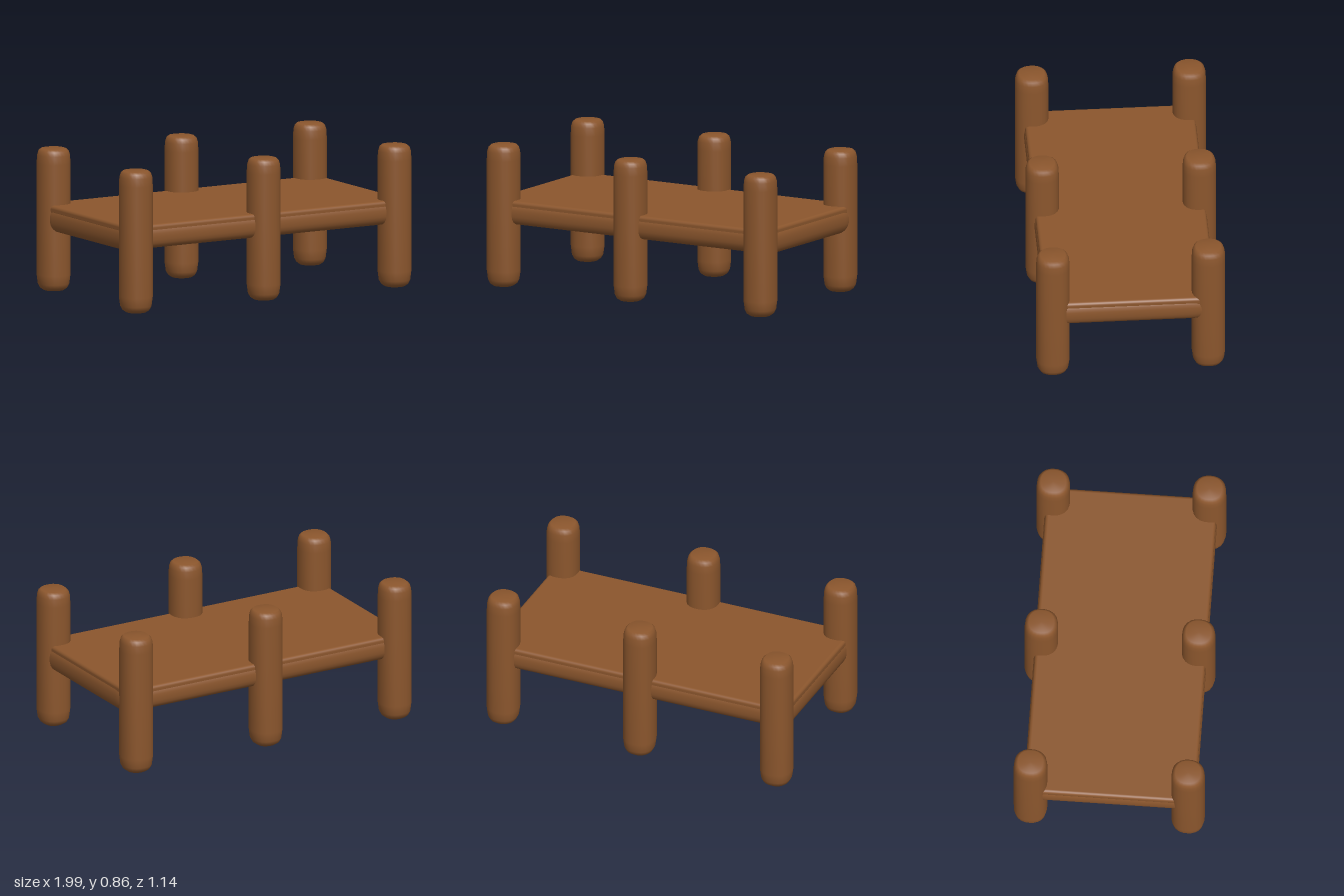
import * as THREE from 'three';
import { mergeVertices } from 'three/addons/utils/BufferGeometryUtils.js';
import { RoundedBoxGeometry } from 'three/addons/geometries/RoundedBoxGeometry.js';

// Upright log with softened ends and a slightly squared cross-section
function logGeometry(length, rx, rz, power) {
  const profile = [
    [0, 0], [0.6, 0.006], [0.8, 0.02], [0.93, 0.045], [1, 0.1],
    [1, length / 2],
    [1, length - 0.09], [0.97, length - 0.04], [0.89, length - 0.015], [0.75, length - 0.002], [0, length],
  ].map(([r, y]) => new THREE.Vector2(r, y));
  let geo = new THREE.LatheGeometry(profile, 24);
  const pos = geo.attributes.position;
  for (let i = 0; i < pos.count; i++) {
    const x = pos.getX(i), z = pos.getZ(i), r = Math.hypot(x, z);
    if (r < 1e-6) continue;
    const c = Math.abs(x / r), s = Math.abs(z / r);
    const k = Math.pow(c ** power + s ** power, -1 / power);
    pos.setX(i, x * k * rx);
    pos.setZ(i, z * k * rz);
  }
  // Weld the seam so the shading stays smooth all round
  geo.deleteAttribute('uv');
  geo.deleteAttribute('normal');
  geo = mergeVertices(geo, 1e-4);
  geo.computeVertexNormals();
  return geo;
}

export function createModel() {
  const group = new THREE.Group();
  const wood = new THREE.MeshStandardMaterial({ color: 0x8b562d });
  wood.name = 'brown wood';

  function add(name, geo, x, y, z) {
    const mesh = new THREE.Mesh(geo, wood);
    mesh.name = name;
    mesh.position.set(x, y, z);
    group.add(mesh);
    return mesh;
  }

  // Six posts in two rows
  const postGeo = logGeometry(0.86, 0.096, 0.1, 2.35);
  const posts = [
    ['frontRightPost', -0.905, 0.467], ['frontMiddlePost', -0.015, 0.467], ['frontLeftPost', 0.897, 0.467],
    ['backRightPost', -0.905, -0.472], ['backMiddlePost', -0.015, -0.47], ['backLeftPost', 0.875, -0.462],
  ];
  for (const [name, x, z] of posts) add(name, postGeo, x, 0, z);

  // Long rails between the posts
  const railGeo = logGeometry(1.86, 0.073, 0.068, 2.7).rotateZ(-Math.PI / 2).translate(-0.93, 0, 0);
  add('frontRail', railGeo, -0.005, 0.455, 0.45);
  add('backRail', railGeo, -0.005, 0.455, -0.442);

  // Cross beams at both ends and under the middle
  const beamGeo = logGeometry(0.94, 0.068, 0.08, 2.6).rotateX(Math.PI / 2).translate(0, 0, -0.47);
  add('rightEndBeam', beamGeo, -0.91, 0.446, 0);
  add('leftEndBeam', beamGeo, 0.9, 0.446, 0);
  const middle = add('middleBeam', beamGeo, -0.015, 0.458, 0);
  middle.scale.set(0.9, 0.85, 1);

  // Flat deck lying across the beams
  add('deck', new RoundedBoxGeometry(1.93, 0.055, 1.015, 3, 0.02), -0.007, 0.502, 0.004);

  return group;
}
